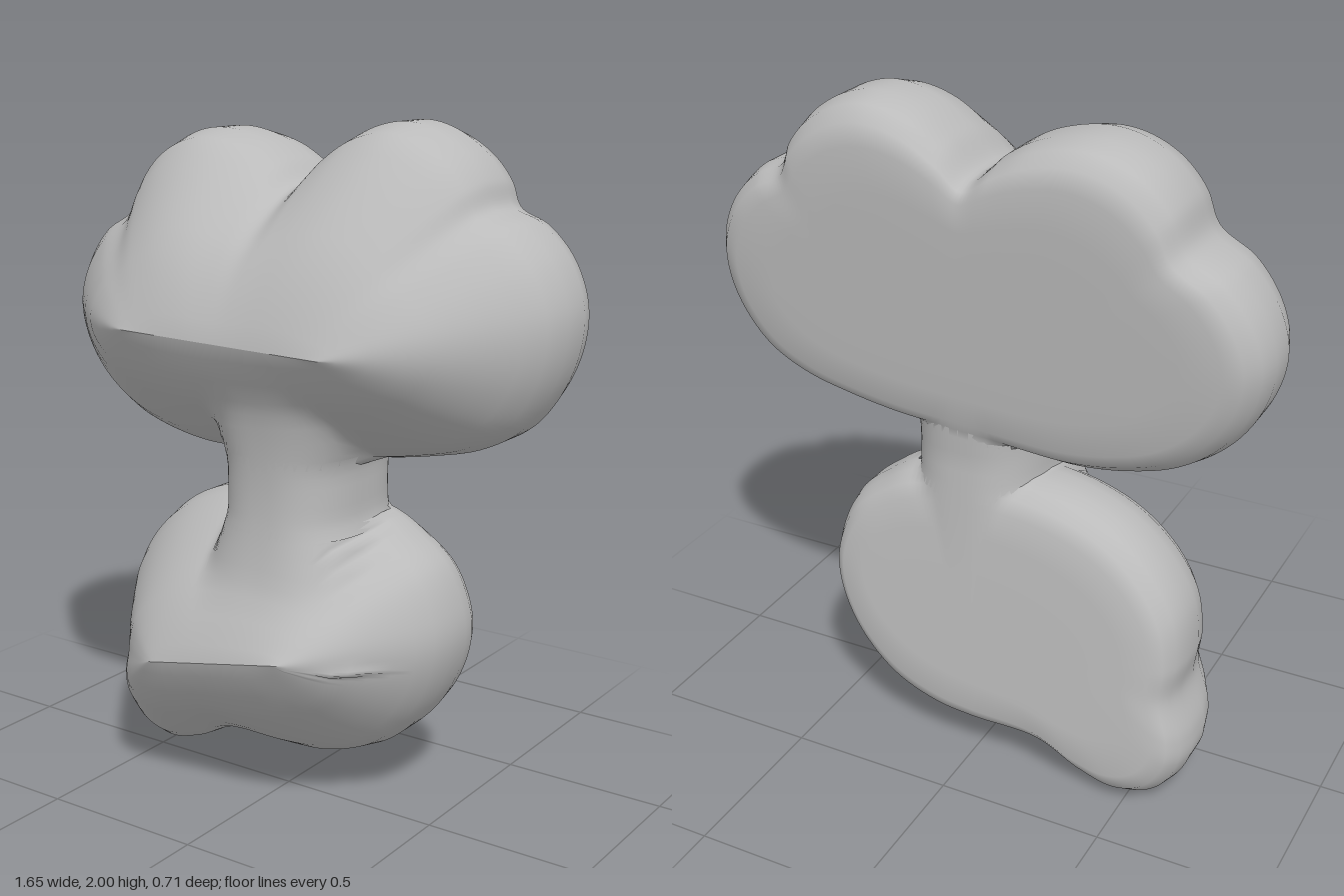
import * as THREE from 'three';

const { clamp, lerp } = THREE.MathUtils;

const grey = new THREE.MeshStandardMaterial({ color: 0xbbbbbb });
grey.name = 'plain grey';

// Skin a list of closed rings of points with smooth normals; long steps in z are left open.
function skin(name, rings) {
  const n = rings[0].length, index = [];
  for (let j = 0; j < rings.length - 1; j++) {
    for (let i = 0; i < n; i++) {
      const k = (i + 1) % n, a = j * n + i, b = j * n + k, c = b + n, d = a + n;
      if (rings[j][i].z - rings[j + 1][i].z < 0.25) index.push(a, b, c, a, c, d);
    }
  }
  const geo = new THREE.BufferGeometry().setFromPoints(rings.flat());
  geo.setIndex(index);
  geo.computeVertexNormals();
  const mesh = new THREE.Mesh(geo, grey);
  mesh.name = name;
  return mesh;
}

// Neck section at height y, shared by trunk and lobes: it grows away from its waist.
const NECK_X = 0.05, NECK_Y = 0.97, POWER = 2.6;
function neck(y) {
  const d = Math.abs(y - NECK_Y);
  const front = 0.215 + 0.5 * d * d, back = -0.275 - 0.06 * d;
  return { half: 0.2 + 0.4 * Math.max(0, d - 0.08), mid: (front + back) / 2, deep: (front - back) / 2 };
}

// Larger of two values with a rounded transition of width k.
function softMax(a, b, k) {
  const h = Math.max(k - Math.abs(a - b), 0);
  return Math.max(a, b) + (k > 0 ? (h * h) / (4 * k) : 0);
}

// Depth profile: [fraction from ridge to outline, z], from the front ridge round to the flat back.
const PROFILE = [
  [0, 0.35], [0.12, 0.335], [0.3, 0.29], [0.45, 0.245], [0.55, 0.2], [0.65, 0.155], [0.77, 0.092],
  [0.88, 0.03], [0.96, -0.03], [1, -0.11], [1, -0.21], [0.97, -0.275], [0.91, -0.32],
  [0.82, -0.342], [0.6, -0.345], [0.3, -0.345], [0, -0.345],
];

// A puffy lobe: a front outline swept over the profile, meeting at a short ridge line.
function lobe(name, outline, { cx, cy, spread, slope, tilt, back }) {
  const curve = new THREE.CatmullRomCurve3(outline.map(([x, y]) => new THREE.Vector3(x, y, 0)), true);
  const edge = curve.getPoints(240).slice(0, -1);
  // Notches fade inward by blending to a smoothed copy of the outline.
  const reach = 16;
  const soft = edge.map((_, i) => {
    const sum = new THREE.Vector3();
    for (let k = -reach; k <= reach; k++) sum.add(edge[(i + k + edge.length) % edge.length]);
    return sum.divideScalar(2 * reach + 1);
  });
  const rings = PROFILE.map(([u, depth], row) => edge.map((p, i) => {
    const q = soft[i].clone().lerp(p, u * u);
    const rx = cx + (q.x - cx) * spread;
    const ry = cy + (rx - cx) * slope;
    const x = lerp(rx, q.x, u), y = lerp(ry, q.y, u);
    let z = depth + clamp((-0.05 - depth) / 0.25, 0, 1) * (back + (y - cy) * tilt);
    // Flow into the neck on the side that faces it.
    const { half, mid, deep } = neck(y);
    const t = Math.abs(x - NECK_X) / half;
    if (t < 1 && (y - cy) * (NECK_Y - cy) > 0) {
      const bulge = deep * (1 - t ** POWER) ** (1 / POWER);
      z = row < 10 ? softMax(z, mid + bulge, 0.07 * u) : Math.min(z, mid - bulge);
    }
    return new THREE.Vector3(x, y, z);
  }));
  return skin(name, rings);
}

const CROWN = [
  [0, 1.82], [0.08, 1.9], [0.18, 1.97], [0.3, 2], [0.4, 1.98], [0.5, 1.92], [0.56, 1.85], [0.59, 1.78],
  [0.68, 1.74], [0.77, 1.65], [0.82, 1.53], [0.82, 1.42], [0.78, 1.3], [0.7, 1.19], [0.58, 1.12],
  [0.43, 1.08], [0.25, 1.05], [0.05, 1.04], [-0.15, 1.02], [-0.3, 1.01], [-0.45, 1.03], [-0.6, 1.08],
  [-0.72, 1.17], [-0.8, 1.29], [-0.83, 1.42], [-0.8, 1.54], [-0.72, 1.65], [-0.61, 1.72],
  [-0.57, 1.82], [-0.5, 1.9], [-0.4, 1.95], [-0.3, 1.96], [-0.17, 1.93], [-0.08, 1.88],
];

const BASE = [
  [0.05, 0.91], [0.25, 0.88], [0.35, 0.82], [0.44, 0.74], [0.49, 0.62], [0.5, 0.52], [0.47, 0.4],
  [0.4, 0.28], [0.28, 0.17], [0.12, 0.11], [0, 0.1], [-0.24, 0.1], [-0.38, 0.03], [-0.5, 0],
  [-0.6, 0.04], [-0.66, 0.14], [-0.66, 0.22], [-0.62, 0.35], [-0.63, 0.46], [-0.61, 0.6],
  [-0.54, 0.72], [-0.43, 0.82], [-0.3, 0.88], [-0.15, 0.91],
];

// Trunk: rounded-square sections that run just into both lobes.
function trunk() {
  const round = (v) => Math.sign(v) * Math.abs(v) ** (2 / POWER);
  const rings = [0.85, 0.88, 0.91, 0.94, 0.97, 1, 1.03, 1.06, 1.08].map((y) => {
    const { half, mid, deep } = neck(y);
    return Array.from({ length: 64 }, (_, i) => {
      const a = (i / 64) * Math.PI * 2;
      return new THREE.Vector3(NECK_X + half * round(Math.sin(a)), y, mid + deep * round(Math.cos(a)));
    });
  });
  return skin('trunk', rings);
}

export function createModel() {
  const model = new THREE.Group();
  model.name = 'puffyTree';
  model.add(
    lobe('crown', CROWN, { cx: 0, cy: 1.42, spread: 0.42, slope: -0.02, tilt: -0.08, back: 0.018 }),
    trunk(),
    lobe('base', BASE, { cx: 0, cy: 0.5, spread: 0.4, slope: 0.2, tilt: 0.1, back: 0.035 }),
  );
  return model;
}
